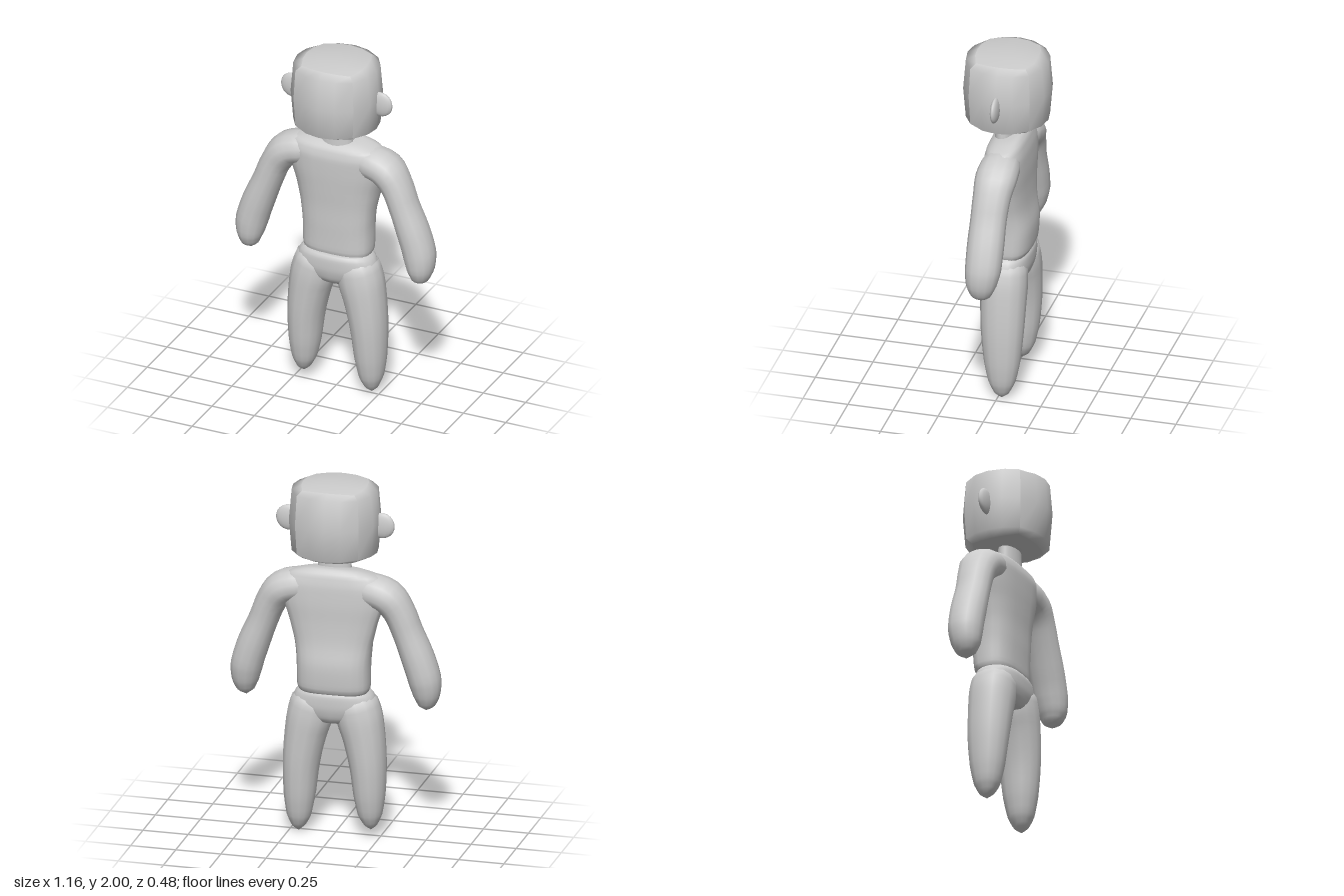
import * as THREE from 'three';

const grey = new THREE.MeshStandardMaterial({ color: 0xcccccc });
grey.name = 'plain grey';

function part(name, geometry) {
  const mesh = new THREE.Mesh(geometry, grey);
  mesh.name = name;
  return mesh;
}

// Smooth closed skin over oval sections [x, y, z, half width, half depth];
// power < 1 squares the ovals off, warp adjusts each finished point.
function loft(sections, { sides = 16, steps = 4, power = 1, warp } = {}) {
  const path = new THREE.CatmullRomCurve3(sections.map(s => new THREE.Vector3(s[0], s[1], s[2])));
  const size = new THREE.CatmullRomCurve3(sections.map(s => new THREE.Vector3(s[3], s[4], 0)));
  const rows = (sections.length - 1) * steps;
  const pos = [], index = [];
  const round = v => Math.sign(v) * Math.abs(v) ** power;
  for (let i = 0; i <= rows; i++) {
    const c = path.getPoint(i / rows), r = size.getPoint(i / rows);
    const t = path.getTangent(i / rows);
    const len = Math.hypot(t.x, t.y) || 1;
    for (let j = 0; j < sides; j++) {
      const a = (j / sides) * Math.PI * 2;
      const u = round(Math.cos(a)) * Math.max(r.x, 0.001);
      const v = round(Math.sin(a)) * Math.max(r.y, 0.001);
      const p = new THREE.Vector3(c.x + (t.y / len) * u, c.y - (t.x / len) * u, c.z + v);
      if (warp) warp(p);
      pos.push(p.x, p.y, p.z);
      if (i < rows) {
        const k = i * sides + j, n = i * sides + (j + 1) % sides;
        index.push(k, k + sides, n, n, k + sides, n + sides);
      }
    }
  }
  const g = new THREE.BufferGeometry();
  g.setAttribute('position', new THREE.Float32BufferAttribute(pos, 3));
  g.setIndex(index);
  g.computeVertexNormals();
  return g;
}

// Cube swollen to a ball, then squared off vertically; the six faces stay creased.
function headGeometry() {
  const g = new THREE.BoxGeometry(2, 2, 2, 4, 4, 4);
  const p = g.attributes.position;
  const swell = (a, b, c) => a * Math.sqrt(1 - b * b / 2 - c * c / 2 + b * b * c * c / 3);
  for (let i = 0; i < p.count; i++) {
    const x = p.getX(i), y = p.getY(i), z = p.getZ(i);
    const h = swell(y, x, z);
    p.setXYZ(i, 0.25 * swell(x, y, z) + 0.003,
      1.787 + 0.213 * Math.sign(h) * Math.abs(h) ** 0.2, 0.24 * swell(z, x, y));
  }
  g.computeVertexNormals();
  return g;
}

export function createModel() {
  const model = new THREE.Group();
  model.name = 'figure';

  model.add(part('head', headGeometry()));

  const neck = part('neck', new THREE.CylinderGeometry(0.088, 0.096, 0.14, 20));
  neck.scale.z = 0.58;
  neck.position.set(0.008, 1.55, 0.01);
  model.add(neck);

  // Torso: narrow waist, broad shoulders, back wider than the chest
  model.add(part('torso', loft([
    [0, 0.82, -0.03, 0, 0],
    [0, 0.825, -0.03, 0.185, 0.1],
    [0, 0.86, -0.033, 0.198, 0.115],
    [0, 0.98, -0.035, 0.2, 0.12],
    [0, 1.1, -0.025, 0.21, 0.112],
    [0, 1.22, -0.018, 0.235, 0.112],
    [0, 1.33, -0.015, 0.27, 0.115],
    [0, 1.42, -0.012, 0.285, 0.113],
    [0, 1.48, -0.012, 0.25, 0.098],
    [0, 1.512, -0.015, 0.14, 0.065],
    [0, 1.52, -0.015, 0, 0],
  ], {
    sides: 24, power: 0.75,
    warp: p => {
      const flare = THREE.MathUtils.smoothstep(p.y, 1.0, 1.25) * THREE.MathUtils.smoothstep(-p.y, -1.5, -1.38);
      p.x *= 1 - flare * p.z * 0.9;
      p.y += Math.max(p.y - 1.4, 0) * -p.z * 1.3;
    },
  })));

  // Hips
  model.add(part('hips', loft([
    [0, 0.84, -0.018, 0, 0],
    [0, 0.836, -0.018, 0.185, 0.108],
    [0, 0.81, -0.018, 0.214, 0.122],
    [0, 0.75, -0.018, 0.235, 0.122],
    [0, 0.69, -0.018, 0.18, 0.108],
    [0, 0.655, -0.018, 0.1, 0.08],
    [0, 0.64, -0.018, 0, 0],
  ], { sides: 24, power: 0.85 })));

  for (const [side, s] of [['left', 1], ['right', -1]]) {
    const ear = part(side + 'Ear', new THREE.SphereGeometry(0.072, 16, 12));
    ear.scale.z = 0.32;
    ear.position.set(s * 0.257 + 0.002, 1.77, 0);
    model.add(ear);

    // Arm: from inside the shoulder down to a rounded mitten end
    model.add(part(side + 'Arm', loft([
      [0.08, 1.42, -0.015, 0.05, 0.07],
      [0.2, 1.405, -0.015, 0.09, 0.108],
      [0.29, 1.375, -0.014, 0.092, 0.113],
      [0.35, 1.3, -0.008, 0.084, 0.103],
      [0.4, 1.18, -0.002, 0.081, 0.098],
      [0.455, 1.04, 0, 0.088, 0.1],
      [0.492, 0.92, 0.003, 0.088, 0.097],
      [0.502, 0.83, 0.01, 0.073, 0.082],
      [0.5, 0.77, 0.012, 0.045, 0.052],
      [0.498, 0.74, 0.012, 0, 0],
    ].map(([x, ...rest]) => [s * x, ...rest]), { sides: 14, steps: 3, power: 0.95 })));

    // Leg: footless taper; the right one ends slightly higher
    const lift = s < 0 ? 0.04 : 0;
    model.add(part(side + 'Leg', loft([
      [0.1, 0.81, -0.018, 0.06, 0.08],
      [0.12, 0.75, -0.018, 0.118, 0.12],
      [0.138, 0.67, -0.018, 0.125, 0.126],
      [0.16, 0.57, -0.018, 0.115, 0.124],
      [0.184, 0.4, -0.019, 0.1, 0.116],
      [0.193, 0.22, -0.02, 0.086, 0.098],
      [0.197, 0.1, -0.02, 0.066, 0.073],
      [0.2, 0.035, -0.02, 0.035, 0.04],
      [0.2, 0.005, -0.02, 0, 0],
    ].map(([x, y, ...rest]) => [s * x, y + lift * (1 - y / 0.81), ...rest]),
    { sides: 14, steps: 3, power: 0.95 })));
  }
  return model;
}
